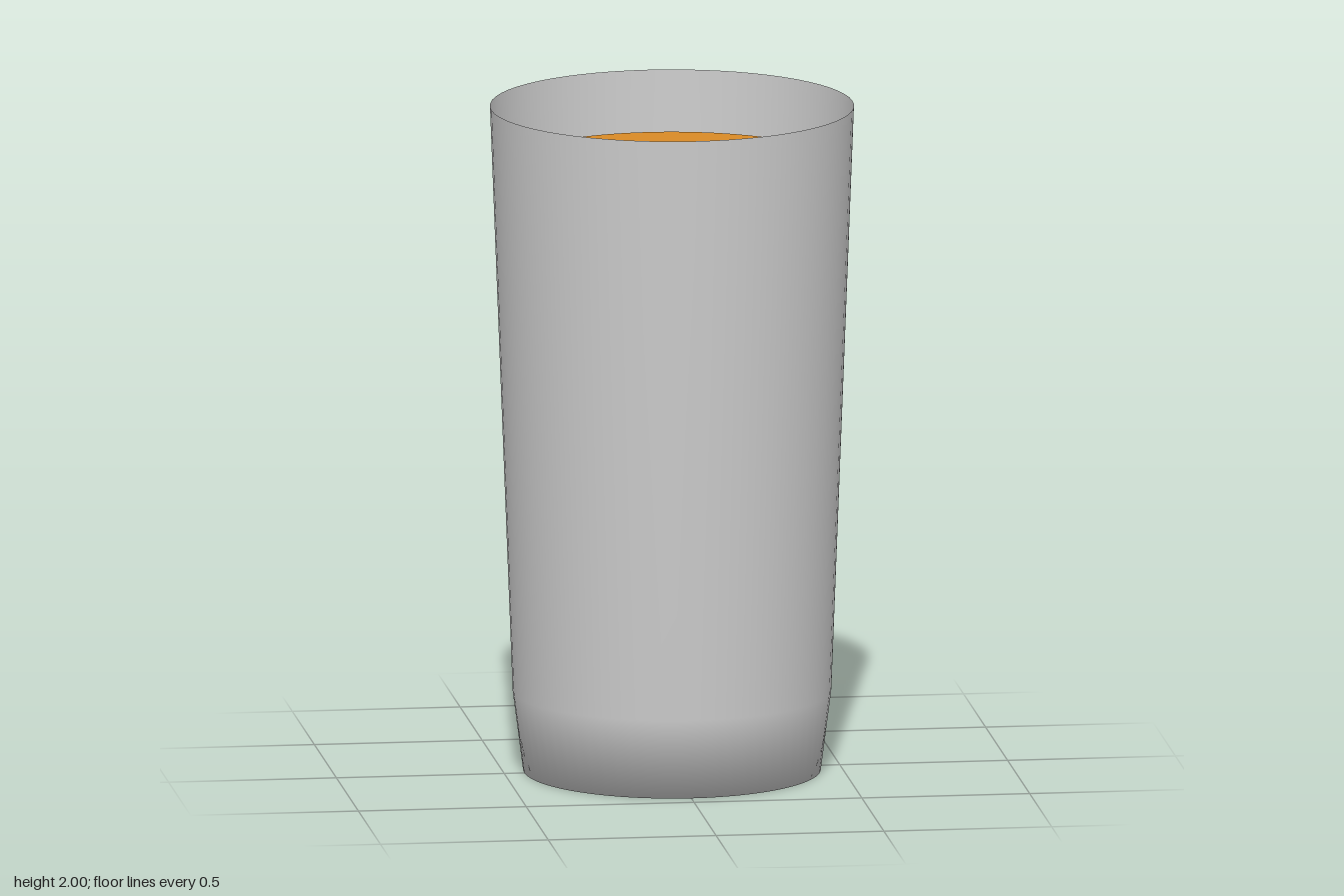
import * as THREE from 'three';

const SEGMENTS = 64;

// Turn a list of [radius, height] points around the y axis
function turned(name, profile, material) {
  const points = profile.map(([r, y]) => new THREE.Vector2(r, y));
  const mesh = new THREE.Mesh(new THREE.LatheGeometry(points, SEGMENTS), material);
  mesh.name = name;
  return mesh;
}

export function createModel() {
  const group = new THREE.Group();
  group.name = 'drinkingGlass';

  const glassMaterial = new THREE.MeshStandardMaterial({ color: 0xcccccc, side: THREE.DoubleSide });
  const drinkMaterial = new THREE.MeshStandardMaterial({ color: 0xd98a26 });

  // Thin tapered wall and base, softly shaded around the foot
  group.add(turned('glass', [[0, 0], [0.44, 0], [0.471, 0.24], [0.538, 2]], glassMaterial));

  // Drink body, following the taper inside the wall
  group.add(turned('drinkBody', [[0, 0.04], [0.41, 0.04], [0.44, 0.25], [0.5, 1.82]], drinkMaterial));

  // Flat surface of the drink
  const surface = new THREE.Mesh(new THREE.CircleGeometry(0.5, SEGMENTS), drinkMaterial);
  surface.name = 'drinkSurface';
  surface.rotation.x = -Math.PI / 2;
  surface.position.y = 1.82;
  group.add(surface);

  return group;
}
